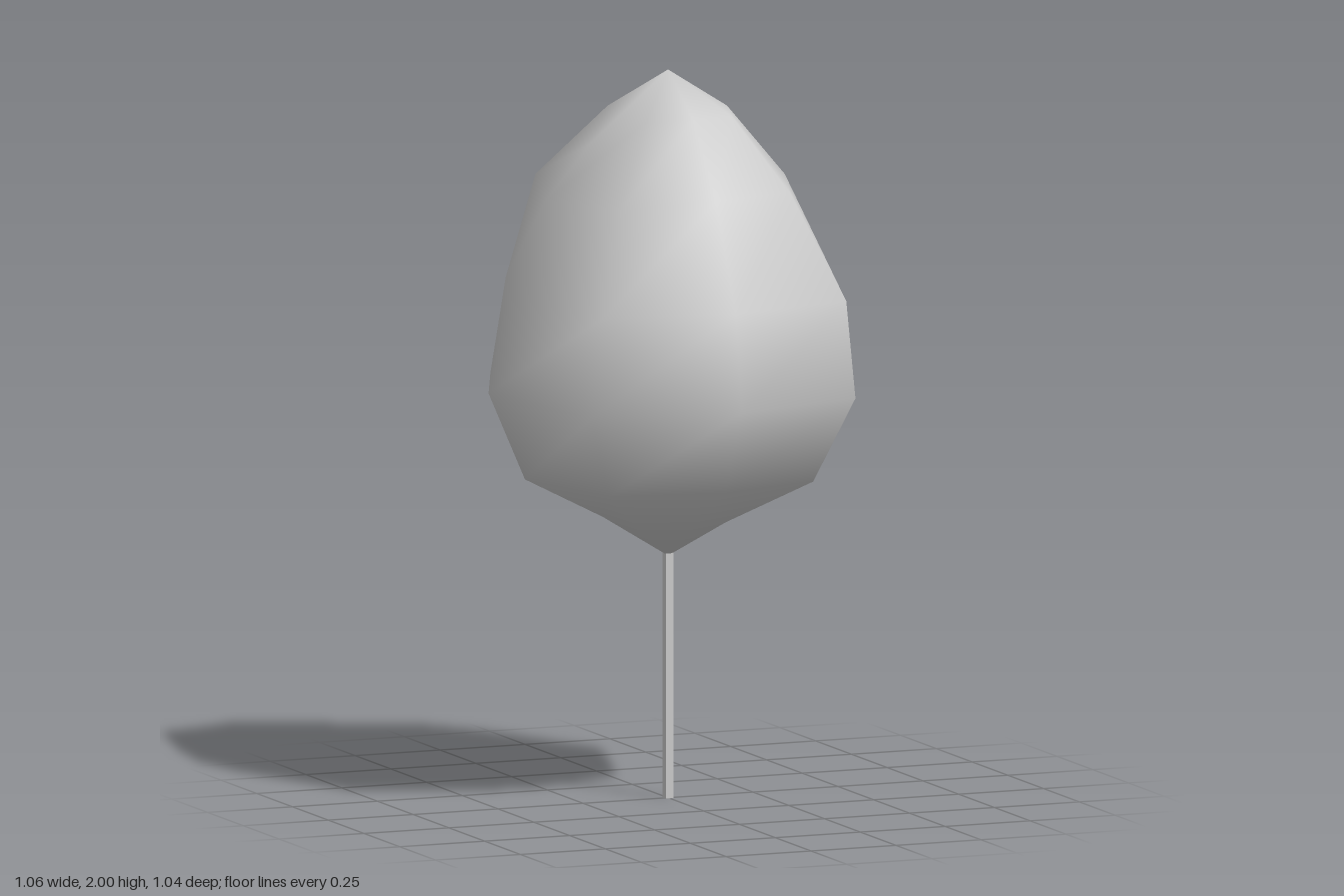
import * as THREE from 'three';

// Crown profile from bottom to top: [radius, height]
const BOTTOM = 0.665, TOP = 2;
const RINGS = [[0.19, 0.775], [0.405, 0.9], [0.523, 1.135], [0.478, 1.4], [0.34, 1.69], [0.178, 1.89]];
const SIDES = 8;
// Slight irregularity of each of the eight columns, starting at +x and turning towards +z
const SPREAD = [1.01, 1.03, 0.99, 1.05, 1.01, 0.995, 0.995, 1.0];
const LIFT = [-0.013, -0.01, -0.003, -0.012, 0.008, 0, 0.018, 0.008];
// Single dents and bumps: 'ring,column': [radius change, height change]
const DENTS = {
  '0,1': [-0.03, 0], '1,0': [-0.015, -0.015], '1,4': [0.012, -0.008],
  '3,0': [0, 0.013], '3,1': [0.02, 0], '3,3': [-0.03, -0.005], '3,4': [-0.01, -0.008],
  '4,0': [0, 0.015], '4,3': [-0.015, -0.015], '4,4': [0.018, -0.038], '4,5': [0.05, 0], '4,7': [-0.015, -0.025],
  '5,0': [-0.006, 0.013], '5,3': [-0.03, 0], '5,4': [0.05, -0.088],
};

// Closed faceted body with smooth normals
function crownGeometry() {
  const pos = [0, BOTTOM, 0];
  RINGS.forEach(([r, y], j) => {
    for (let i = 0; i < SIDES; i++) {
      const angle = (i / SIDES) * Math.PI * 2 - (i === 1 ? 0.05 : 0);
      const [dr, dy] = DENTS[`${j},${i}`] ?? [0, 0];
      const radius = r * SPREAD[i] + dr;
      pos.push(Math.cos(angle) * radius, y + LIFT[i] + dy, Math.sin(angle) * radius);
    }
  });
  pos.push(0, TOP, 0);

  const index = [];
  const at = (j, i) => 1 + j * SIDES + (i % SIDES);
  const last = RINGS.length - 1, tip = 1 + RINGS.length * SIDES;
  for (let i = 0; i < SIDES; i++) {
    index.push(0, at(0, i), at(0, i + 1));
    for (let j = 0; j < last; j++) {
      index.push(at(j, i), at(j + 1, i), at(j, i + 1));
      index.push(at(j, i + 1), at(j + 1, i), at(j + 1, i + 1));
    }
    index.push(at(last, i), tip, at(last, i + 1));
  }
  const geo = new THREE.BufferGeometry();
  geo.setAttribute('position', new THREE.Float32BufferAttribute(pos, 3));
  geo.setIndex(index);
  geo.computeVertexNormals();
  return geo;
}

export function createModel() {
  const model = new THREE.Group();
  model.name = 'tree';
  const material = new THREE.MeshStandardMaterial({ color: 0xcccccc, side: THREE.DoubleSide });
  const add = (name, geometry) => {
    const mesh = new THREE.Mesh(geometry, material);
    mesh.name = name;
    model.add(mesh);
  };

  // Thin square trunk reaching just into the crown
  add('trunk', new THREE.BoxGeometry(0.023, 0.68, 0.023).translate(0, 0.34, 0));
  add('foliage', crownGeometry());

  return model;
}
